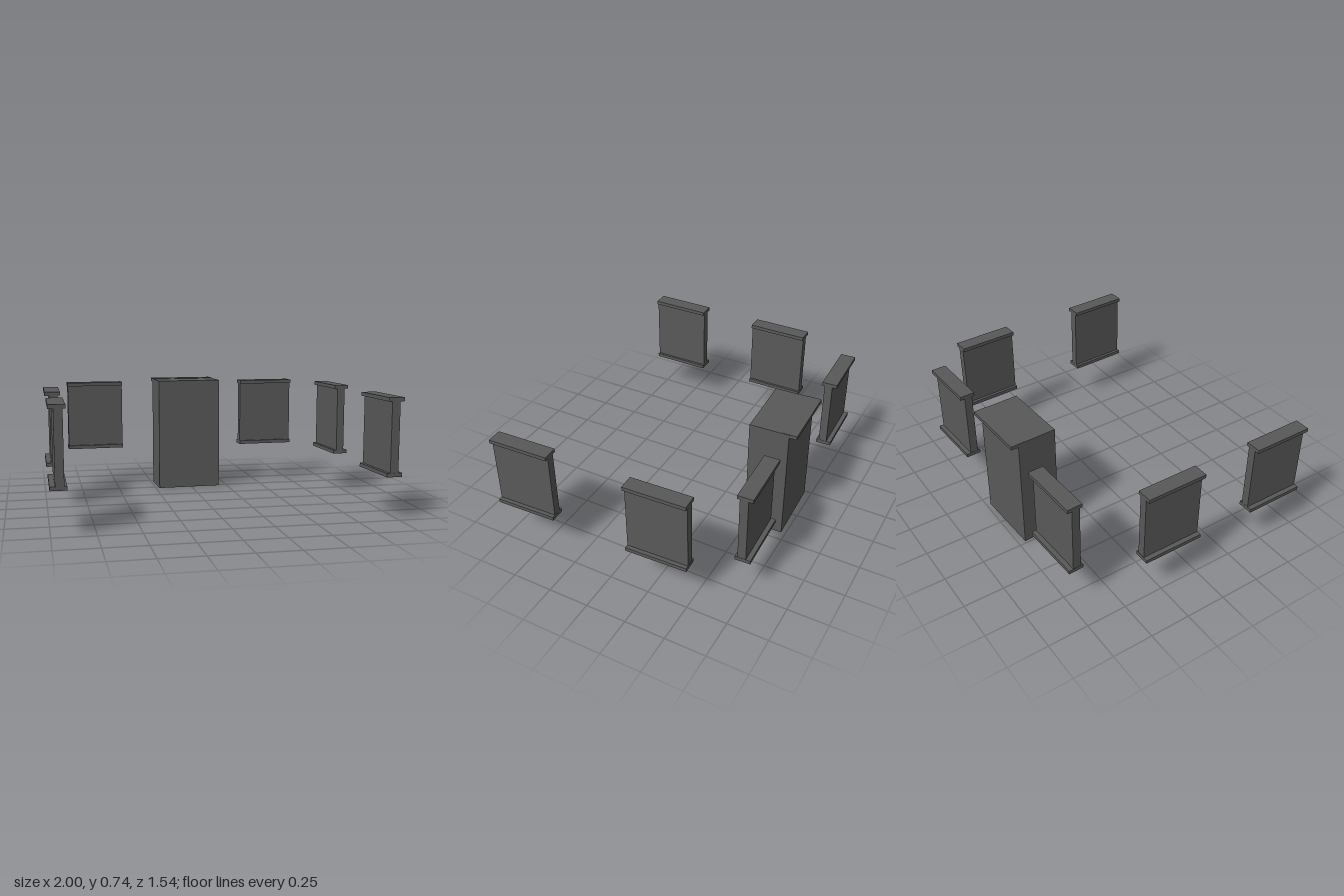
import * as THREE from 'three';

export function createModel() {
  const model = new THREE.Group();
  const darkGrey = new THREE.MeshStandardMaterial({ color: 0x595959 });

  function box(name, parent, w, h, d, x, y, z) {
    const mesh = new THREE.Mesh(new THREE.BoxGeometry(w, h, d), darkGrey);
    mesh.name = name;
    mesh.position.set(x, y, z);
    parent.add(mesh);
  }

  // Wall panel running along its own x axis, with a wider strip above and below
  const LENGTH = 0.378, CAP = 0.023, CAP_DEPTH = 0.094, BOTTOM = 0.26, TOP = 0.72;
  function panel(name, x, z, turn, inset) {
    const group = new THREE.Group();
    group.name = name;
    box('panelBoard', group, LENGTH - 0.003, TOP - BOTTOM - 2 * CAP, 0.05, 0, (TOP + BOTTOM) / 2, inset);
    box('topStrip', group, LENGTH, CAP, CAP_DEPTH, 0, TOP - CAP / 2, 0);
    box('bottomStrip', group, LENGTH, CAP, CAP_DEPTH, 0, BOTTOM + CAP / 2, 0);
    group.position.set(x, 0, z);
    group.rotation.y = turn;
    model.add(group);
  }

  const SKEW = 0.038;
  // Back row
  panel('backRightPanel', -0.642, -0.718, SKEW, 0.006);
  panel('backLeftPanel', 0.583, -0.718, SKEW, 0.006);
  // Side rows
  for (const [place, rightZ, leftZ] of [['Rear', -0.174, -0.3], ['Front', 0.579, 0.578]]) {
    panel('right' + place + 'Panel', -0.953, rightZ, Math.PI / 2, 0.007);
    panel('left' + place + 'Panel', 0.9455, leftZ, SKEW - Math.PI / 2, 0.002);
  }

  // Central cabinet with a ledge overhanging its back
  const cabinet = new THREE.Group();
  cabinet.name = 'cabinet';
  cabinet.position.set(-0.0185, 0, -0.593);
  cabinet.rotation.y = SKEW;
  box('cabinetBody', cabinet, 0.422, 0.74, 0.243, 0, 0.37, 0);
  box('cabinetLedge', cabinet, 0.421, 0.023, CAP_DEPTH, -0.001, 0.7315, -0.122);
  model.add(cabinet);

  return model;
}
